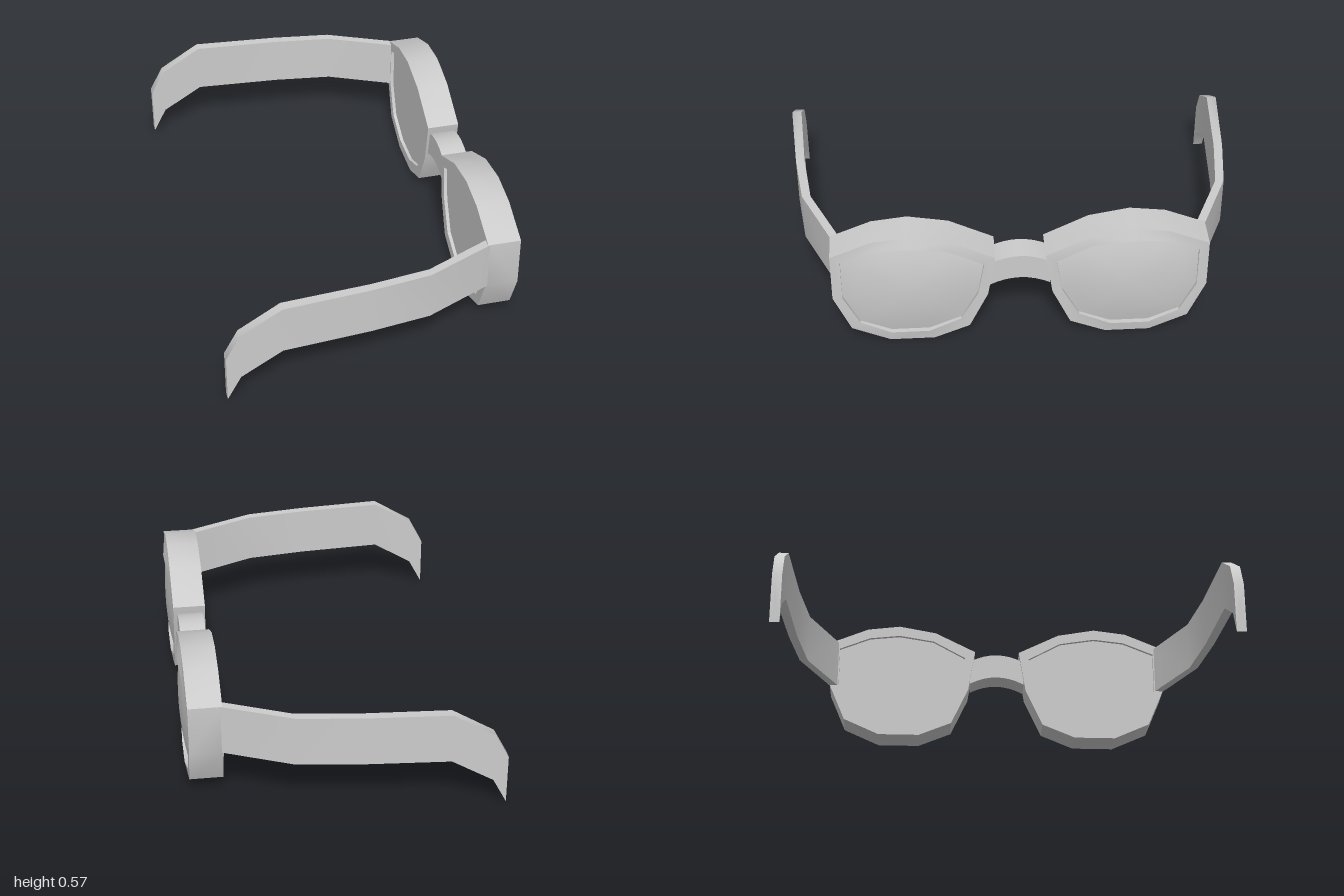
import * as THREE from 'three';
import { toCreasedNormals } from 'three/addons/utils/BufferGeometryUtils.js';

const material = new THREE.MeshStandardMaterial({ color: 0xcccccc });

// Skin a row of equal-length closed loops; side = -1 mirrors the part across z.
function loft(name, loops, side = 1) {
  const pos = [];
  const tri = (a, b, c) => {
    if (new THREE.Triangle(a, b, c).getArea() < 1e-8) return;
    for (const p of side > 0 ? [a, b, c] : [a, c, b]) pos.push(p.x, p.y, p.z * side);
  };
  for (let k = 0; k < loops.length - 1; k++) {
    const f = loops[k], g = loops[k + 1], n = f.length;
    for (let i = 0; i < n; i++) {
      const j = (i + 1) % n;
      tri(f[i], f[j], g[j]);
      tri(f[i], g[j], g[i]);
    }
  }
  const geo = new THREE.BufferGeometry();
  geo.setAttribute('position', new THREE.Float32BufferAttribute(pos, 3));
  const mesh = new THREE.Mesh(toCreasedNormals(geo, 0.6), material);
  mesh.name = name;
  return mesh;
}

const V = (x, y, z) => new THREE.Vector3(x, y, z);

// Loop shrunk to its middle, used to close an end
function cap(loop) {
  const c = loop.reduce((s, p) => s.add(p), V(0, 0, 0)).divideScalar(loop.length);
  return loop.map(() => c);
}

// Rim outlines as [z, y]; the inner one also carries the x of its front edge
const OUTER = [[0.807, 0.476], [0.63, 0.55], [0.476, 0.569], [0.3, 0.537], [0.107, 0.44], [0.139, 0.24],
  [0.22, 0.064], [0.374, 0], [0.567, 0], [0.733, 0.075], [0.807, 0.25]];
const INNER = [[0.765, 0.444, 0.645], [0.62, 0.503, 0.655], [0.476, 0.519, 0.665], [0.31, 0.492, 0.655],
  [0.155, 0.406, 0.645], [0.182, 0.246, 0.645], [0.257, 0.107, 0.648], [0.396, 0.048, 0.654],
  [0.561, 0.048, 0.654], [0.695, 0.107, 0.648], [0.765, 0.25, 0.645]];
const BACK = 0.5, FRONT = 0.645;

function rim(side) {
  const outer = x => OUTER.map(([z, y]) => V(x, y, z));
  const innerFront = INNER.map(([z, y, x]) => V(x, y, z));
  const innerBack = INNER.map(([z, y]) => V(BACK, y, z));
  return loft('rim', [outer(FRONT), outer(BACK), innerBack, innerFront, outer(FRONT)], side);
}

// Thick lens with a domed front and a flat back
function lens(side) {
  const ring = (s, x) => INNER.map(([z, y]) => V(x, 0.29 + (y - 0.29) * s, 0.46 + (z - 0.46) * s));
  const loops = [];
  for (let i = 0; i <= 6; i++) loops.push(ring(i / 6, 0.632 + 0.031 * (1 - (i / 6) ** 2)));
  loops.push(ring(1, 0.515), ring(0, 0.515));
  return loft('lens', loops, side);
}

// Temple arm stations: x, top y, bottom y, inner z, outer z
const ARM = [
  [0.51, 0.476, 0.25, 0.766, 0.806], [0.215, 0.476, 0.25, 0.897, 0.935], [-0.05, 0.476, 0.25, 0.931, 0.97],
  [-0.43, 0.476, 0.25, 0.957, 1], [-0.61, 0.364, 0.14, 0.957, 1], [-0.67, 0.25, 0.025, 0.957, 1],
];

function arm(side) {
  const loops = ARM.map(([x, t, b, zi, zo]) => [V(x, t, zo), V(x, t, zi), V(x, b, zi), V(x, b, zo)]);
  return loft('arm', [cap(loops[0]), ...loops, cap(loops[loops.length - 1])], side);
}

// Arched nose bridge
function bridge() {
  const loops = [];
  for (let i = 0; i <= 8; i++) {
    const z = 0.13 - 0.26 * i / 8, drop = 2.1 * z * z;
    const t = 0.43 - drop, b = 0.312 - drop;
    loops.push([V(0.512, t, z), V(0.627, t, z), V(0.627, b, z), V(0.512, b, z)]);
  }
  return loft('bridge', [cap(loops[0]), ...loops, cap(loops[8])]);
}

export function createModel() {
  const model = new THREE.Group();
  model.name = 'glasses';
  for (const side of [1, -1]) {
    const half = new THREE.Group();
    half.name = side > 0 ? 'nearHalf' : 'farHalf';
    half.add(rim(side), lens(side), arm(side));
    model.add(half);
  }
  model.add(bridge());
  return model;
}
